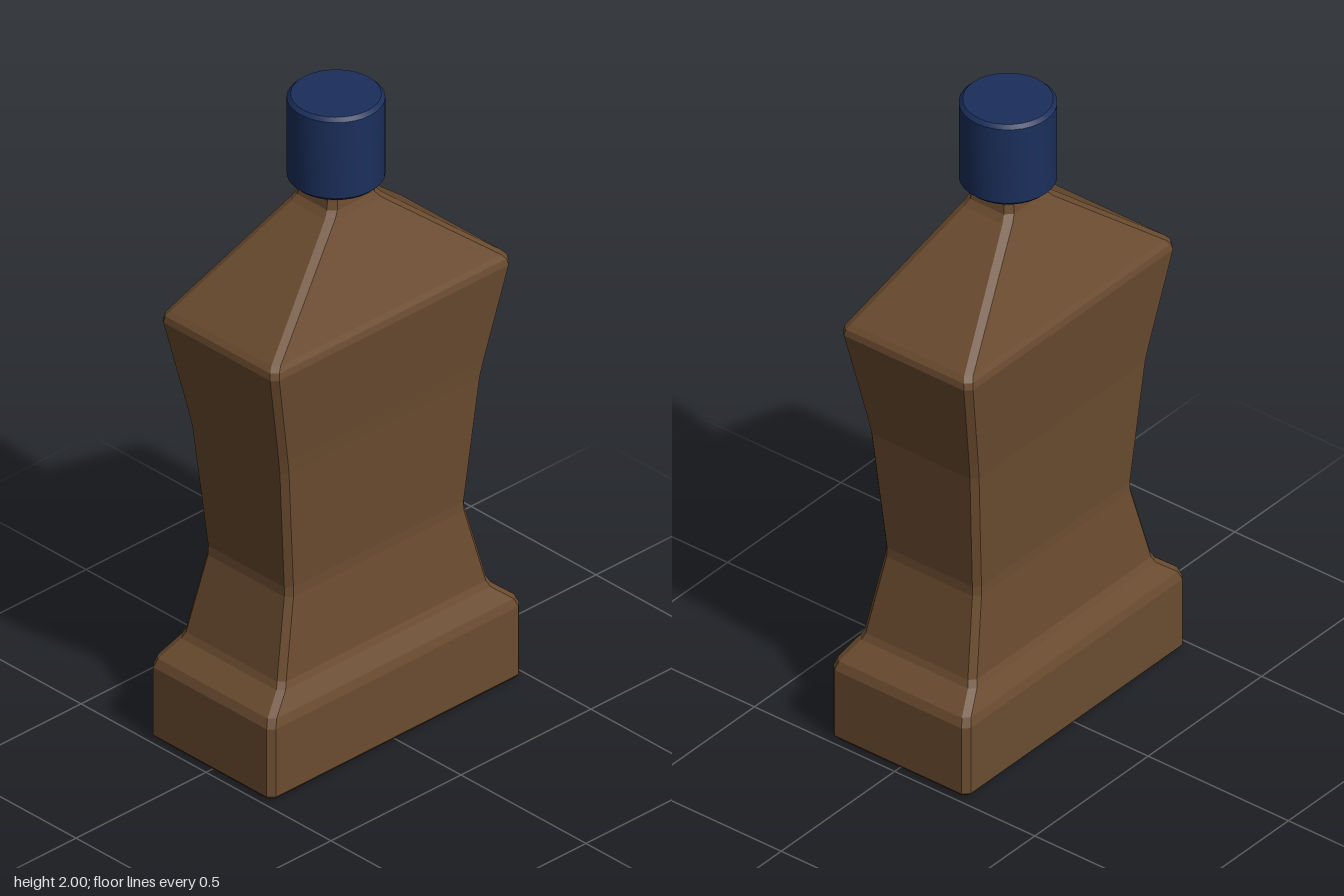
import * as THREE from 'three';
import { toCreasedNormals } from 'three/addons/utils/BufferGeometryUtils.js';

// Chamfered-rectangle corners, running from +x towards +z
function ring(y, hx, hz, c) {
  return [
    [hx, hz - c], [hx - c, hz], [-hx + c, hz], [-hx, hz - c],
    [-hx, -hz + c], [-hx + c, -hz], [hx - c, -hz], [hx, -hz + c],
  ].map(([x, z]) => [x, y, z]);
}

// Skin a stack of rings and close both ends
function loft(rings) {
  const n = rings[0].length;
  const index = [];
  for (let i = 0; i < rings.length - 1; i++) {
    for (let j = 0; j < n; j++) {
      const a = i * n + j, b = i * n + (j + 1) % n;
      index.push(a, a + n, b, b, a + n, b + n);
    }
  }
  const top = (rings.length - 1) * n;
  for (let j = 1; j < n - 1; j++) {
    index.push(0, j, j + 1, top, top + j + 1, top + j);
  }
  const geo = new THREE.BufferGeometry();
  geo.setAttribute('position', new THREE.Float32BufferAttribute(rings.flat(2), 3));
  geo.setIndex(index);
  geo.computeVertexNormals();
  return geo;
}

export function createModel() {
  const group = new THREE.Group();
  group.name = 'bottle';

  // Body: [height, half width, half depth, corner chamfer]
  const sections = [
    [0, 0.473, 0.233, 0.016],
    [0.014, 0.485, 0.245, 0.018],
    [0.235, 0.485, 0.245, 0.018],
    [0.262, 0.474, 0.237, 0.018],
    [0.315, 0.412, 0.208, 0.018],
    [0.335, 0.402, 0.2, 0.018],
    [0.575, 0.346, 0.171, 0.018],
    [0.605, 0.345, 0.17, 0.018],
    [1.0, 0.384, 0.193, 0.018],
    [1.05, 0.393, 0.198, 0.018],
    [1.355, 0.459, 0.232, 0.018],
    [1.375, 0.455, 0.228, 0.018],
    [1.39, 0.442, 0.219, 0.018],
    [1.665, 0.108, 0.088, 0.02],
    [1.685, 0.092, 0.08, 0.02],
    [1.71, 0.088, 0.077, 0.02],
    [1.76, 0.088, 0.077, 0.02],
  ];
  const body = new THREE.Mesh(
    loft(sections.map((s) => ring(...s))),
    new THREE.MeshStandardMaterial({ color: 0x6b4c30, flatShading: true }),
  );
  body.name = 'body';
  group.add(body);

  // Screw cap with bevelled rims
  const r = 0.137, bevel = 0.011, y0 = 1.73, y1 = 2;
  const profile = [
    [0, y0], [r - bevel, y0], [r, y0 + bevel],
    [r, y1 - bevel], [r - bevel, y1], [0, y1],
  ].map(([x, y]) => new THREE.Vector2(x, y));
  const cap = new THREE.Mesh(
    toCreasedNormals(new THREE.LatheGeometry(profile, 32), Math.PI / 6),
    new THREE.MeshStandardMaterial({ color: 0x1b2f5c }),
  );
  cap.name = 'cap';
  group.add(cap);

  return group;
}
